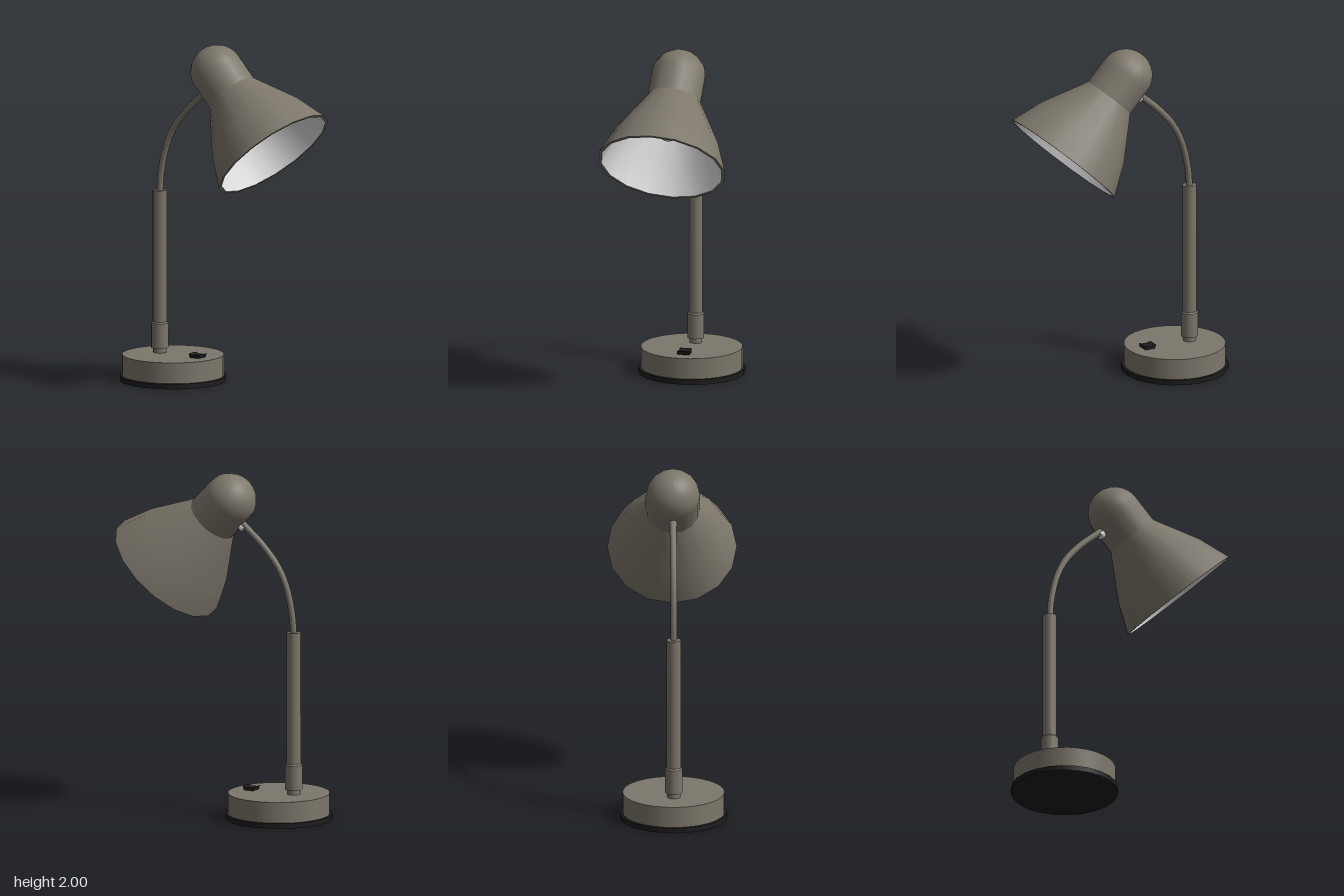
import * as THREE from 'three';

const mat = (name, color) => Object.assign(new THREE.MeshStandardMaterial({ color }), { name });

export function createModel() {
  const body = mat('warm grey paint', 0x7d776b);
  const black = mat('black rubber', 0x1c1c1c);
  const white = mat('white enamel', 0xe4e4e4);
  const lamp = new THREE.Group();
  lamp.name = 'deskLamp';

  const add = (parent, name, geo, material, x = 0, y = 0, z = 0) => {
    const m = new THREE.Mesh(geo, material);
    m.name = name;
    m.position.set(x, y, z);
    parent.add(m);
    return m;
  };
  // upright cylinder between two heights
  const post = (name, r, y0, y1, z, sides, material, rTop = r) =>
    add(lamp, name, new THREE.CylinderGeometry(rTop, r, y1 - y0, sides), material, 0, (y0 + y1) / 2, z);

  // round base with a rubber foot
  post('foot', 0.31, 0, 0.03, -0.35, 24, black);
  post('base', 0.295, 0.03, 0.152, -0.35, 32, body);

  // stem
  const sz = -0.447;
  post('stemNeck', 0.038, 0.15, 0.185, sz, 12, body);
  post('collar', 0.05, 0.18, 0.325, sz, 12, body);
  post('collarBevel', 0.05, 0.325, 0.333, sz, 12, body, 0.043);
  post('stem', 0.041, 0.333, 1.105, sz, 12, body);

  // rocker switch: dished side profile, extruded across x
  const rocker = new THREE.Shape([
    [-0.03, 0], [0.03, 0], [0.038, 0.024], [0.018, 0.017], [-0.018, 0.017], [-0.038, 0.024],
  ].map(([x, y]) => new THREE.Vector2(x, y)));
  const rockerGeo = new THREE.ExtrudeGeometry(rocker, { depth: 0.07, bevelEnabled: false });
  rockerGeo.translate(0, 0, -0.035).rotateY(Math.PI / 2);
  add(lamp, 'switch', rockerGeo, black, 0, 0.152, -0.17);

  // bent neck
  const path = new THREE.CatmullRomCurve3([
    [1.08, -0.447], [1.2, -0.438], [1.36, -0.402], [1.48, -0.346], [1.6, -0.245], [1.7, -0.132], [1.73, -0.1],
  ].map(([y, z]) => new THREE.Vector3(0, y, z)));
  add(lamp, 'bentNeck', new THREE.TubeGeometry(path, 24, 0.02, 8), body);

  // head: local y runs from the rim to the dome
  const head = new THREE.Group();
  head.name = 'head';
  head.position.set(0, 1.405, 0.385);
  head.rotation.x = -0.752;
  lamp.add(head);

  const lathe = (name, pts, material) =>
    add(head, name, new THREE.LatheGeometry(pts.map(([r, y]) => new THREE.Vector2(r, y)), 16), material);
  const dome = (r, y) => Array.from({ length: 9 }, (_, i) => {
    const a = (i / 8) * Math.PI / 2;
    return [Math.max(0, r * Math.cos(a)), y + r * Math.sin(a)];
  });
  lathe('shade', [[0.375, 0], [0.303, 0.185], [0.157, 0.44]], body);
  lathe('shadeCap', [[0.157, 0.44], ...dome(0.157, 0.602)], body);
  lathe('rim', [[0.357, 0], [0.375, 0]], body);
  lathe('shadeLining', [[0.145, 0.44], [0.289, 0.185], [0.357, 0]], white);
  lathe('capLining', [...dome(0.145, 0.602).reverse(), [0.145, 0.44]], white);

  // bulb and its holder
  add(head, 'bulb', new THREE.SphereGeometry(0.07, 16, 12), white, 0, 0.25, 0);
  lathe('bulbNeck', [[0.06, 0.285], [0.045, 0.34], [0.038, 0.42]], white);
  add(head, 'bulbHolder', new THREE.CylinderGeometry(0.05, 0.05, 0.3, 16), white, 0, 0.57, 0);

  // pale joint where the neck enters the cap
  const joint = add(head, 'neckJoint', new THREE.CylinderGeometry(0.024, 0.024, 0.05, 10), white, 0, 0.55, -0.155);
  joint.rotation.x = Math.PI / 2;

  return lamp;
}
